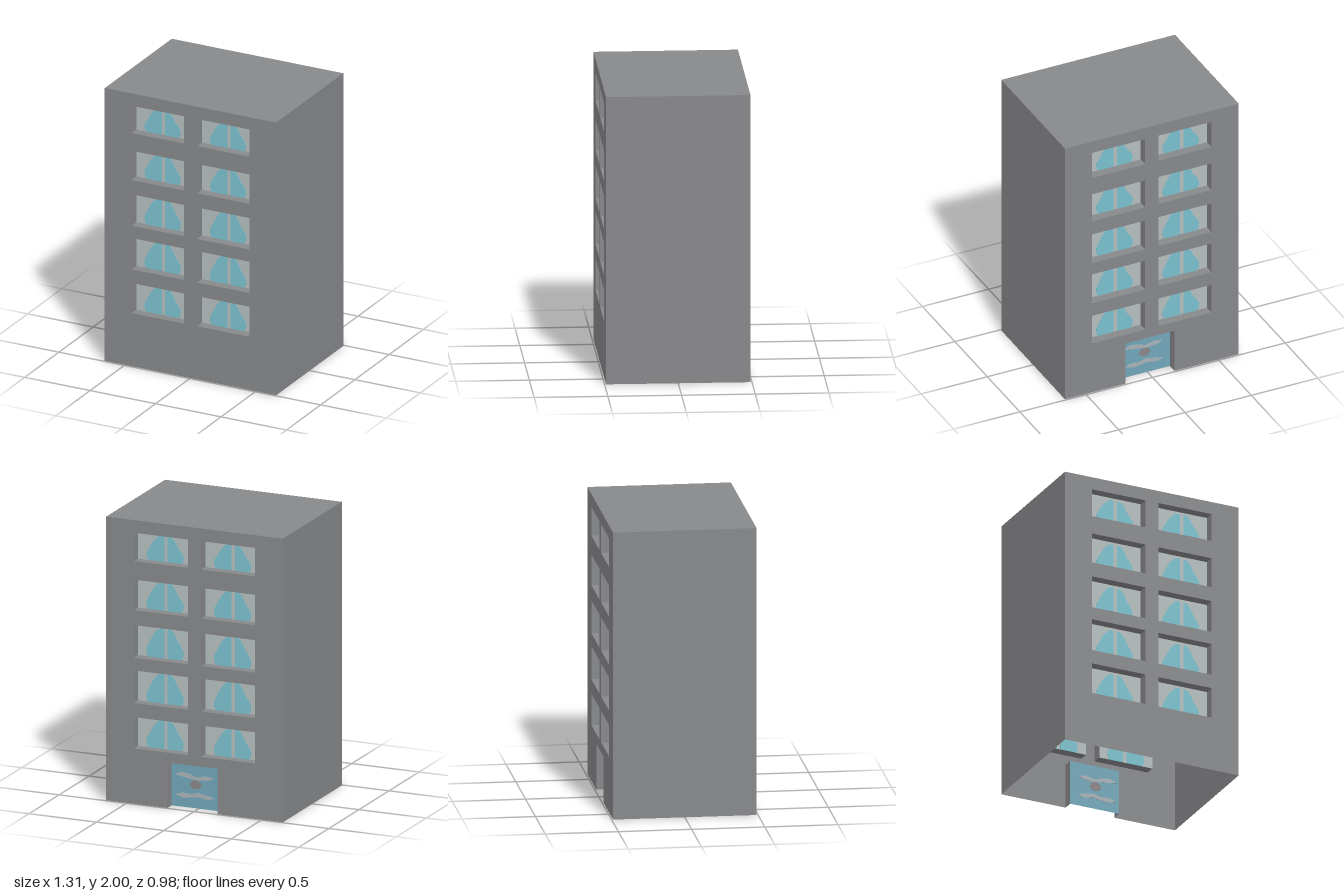
import * as THREE from 'three';

const W = 1.31, H = 2, D = 0.98, RECESS = 0.07;

const material = (name, color) => {
  const m = new THREE.MeshStandardMaterial({ color, side: THREE.DoubleSide });
  m.name = name;
  return m;
};

// Window rows as [bottom, top], columns as [left, right]
const ROWS = [[1.71, 1.91], [1.365, 1.58], [1.03, 1.26], [0.71, 0.94], [0.39, 0.61]];
const COLS = [[-0.45, -0.05], [0.05, 0.45]];
const DOOR = { x0: -0.2, x1: 0.17, y0: 0, y1: 0.32 };

// Painted shapes in pane coordinates from 0 to 1
const CURTAINS = [
  [[0.487, 0], [0.487, 0.92], [0.43, 0.92], [0.38, 0.88], [0.3, 0.73], [0.24, 0.54], [0.2, 0.4], [0.16, 0.27], [0.165, 0.12], [0.19, 0]],
  [[0.553, 0], [0.553, 0.9], [0.59, 0.92], [0.64, 0.87], [0.7, 0.72], [0.74, 0.55], [0.8, 0.42], [0.85, 0.25], [0.84, 0.1], [0.81, 0]],
];
const STREAKS = [
  [[0.06, 0.7], [0.2, 0.77], [0.36, 0.74], [0.5, 0.68], [0.68, 0.73], [0.84, 0.7], [0.74, 0.64], [0.5, 0.62], [0.25, 0.66]],
  [[0.06, 0.26], [0.2, 0.31], [0.4, 0.3], [0.52, 0.35], [0.66, 0.31], [0.86, 0.27], [0.74, 0.21], [0.52, 0.25], [0.25, 0.2]],
];
const MEDALLION = [[0.36, 0.52], [0.42, 0.6], [0.5, 0.62], [0.58, 0.58], [0.6, 0.5], [0.54, 0.43], [0.46, 0.42], [0.39, 0.46]];

export function createModel() {
  const wall = material('wall grey', 0x87888b);
  const glass = material('pale glass', 0xb5bebe);
  const curtain = material('light blue', 0x7ac0ce);
  const doorBlue = material('door blue', 0x70a6b9);
  const doorLight = material('door light grey', 0xa9b2b6);
  const doorBrown = material('door taupe', 0x8a8487);

  const add = (parent, name, geometry, mat, x = 0, y = 0, z = 0) => {
    const mesh = new THREE.Mesh(geometry, mat);
    mesh.name = name;
    mesh.position.set(x, y, z);
    parent.add(mesh);
    return mesh;
  };

  // Thin painted patch that shows on both sides of its pane
  const patch = (parent, name, points, r, mat) => {
    const shape = new THREE.Shape(points.map(([u, v]) =>
      new THREE.Vector2(r.x0 + u * (r.x1 - r.x0), r.y0 + v * (r.y1 - r.y0))));
    const geometry = new THREE.ExtrudeGeometry(shape, { depth: 0.006, bevelEnabled: false });
    add(parent, name, geometry, mat, 0, 0, -RECESS - 0.003);
  };

  // Pane set back from the wall, with the sides of its opening
  const opening = (parent, name, r, paneMat, sill) => {
    const w = r.x1 - r.x0, h = r.y1 - r.y0;
    const cx = (r.x0 + r.x1) / 2, cy = (r.y0 + r.y1) / 2;
    const group = new THREE.Group();
    group.name = name;
    parent.add(group);
    add(group, 'pane', new THREE.PlaneGeometry(w, h), paneMat, cx, cy, -RECESS);
    for (const s of [-1, 1]) {
      add(group, 'jamb', new THREE.PlaneGeometry(RECESS, h), wall, cx + s * w / 2, cy, -RECESS / 2)
        .rotation.y = -s * Math.PI / 2;
      if (s < 0 && !sill) continue;
      add(group, s < 0 ? 'sill' : 'lintel', new THREE.PlaneGeometry(w, RECESS), wall, cx, cy + s * h / 2, -RECESS / 2)
        .rotation.x = s * Math.PI / 2;
    }
    return group;
  };

  // Wall with ten windows and, if asked, a doorway cut from its foot
  const facade = (name, hasDoor) => {
    const group = new THREE.Group();
    group.name = name;
    const outline = new THREE.Shape();
    outline.moveTo(-W / 2, 0);
    if (hasDoor) {
      outline.lineTo(DOOR.x0, 0);
      outline.lineTo(DOOR.x0, DOOR.y1);
      outline.lineTo(DOOR.x1, DOOR.y1);
      outline.lineTo(DOOR.x1, 0);
    }
    outline.lineTo(W / 2, 0);
    outline.lineTo(W / 2, H);
    outline.lineTo(-W / 2, H);
    outline.closePath();

    for (const [y0, y1] of ROWS) for (const [x0, x1] of COLS) {
      const r = { x0, x1, y0, y1 };
      outline.holes.push(new THREE.Path([[x0, y0], [x0, y1], [x1, y1], [x1, y0]]
        .map(([x, y]) => new THREE.Vector2(x, y))));
      const win = opening(group, 'window', r, glass, true);
      CURTAINS.forEach(c => patch(win, 'curtain', c, r, curtain));
    }
    add(group, 'wall', new THREE.ShapeGeometry(outline), wall);

    if (hasDoor) {
      const door = opening(group, 'door', DOOR, doorBlue, false);
      STREAKS.forEach(s => patch(door, 'doorStreak', s, DOOR, doorLight));
      patch(door, 'doorMedallion', MEDALLION, DOOR, doorBrown);
    }
    return group;
  };

  const building = new THREE.Group();
  building.name = 'apartmentBlock';

  const front = facade('frontFacade', false);
  front.position.z = D / 2;
  const back = facade('backFacade', true);
  back.position.z = -D / 2;
  back.rotation.y = Math.PI;
  building.add(front, back);

  // Plain side walls and flat roof; the underside stays open
  for (const s of [-1, 1]) {
    add(building, s > 0 ? 'leftWall' : 'rightWall', new THREE.PlaneGeometry(D, H), wall, s * W / 2, H / 2, 0)
      .rotation.y = s * Math.PI / 2;
  }
  add(building, 'roof', new THREE.PlaneGeometry(W, D), wall, 0, H, 0).rotation.x = -Math.PI / 2;

  return building;
}
